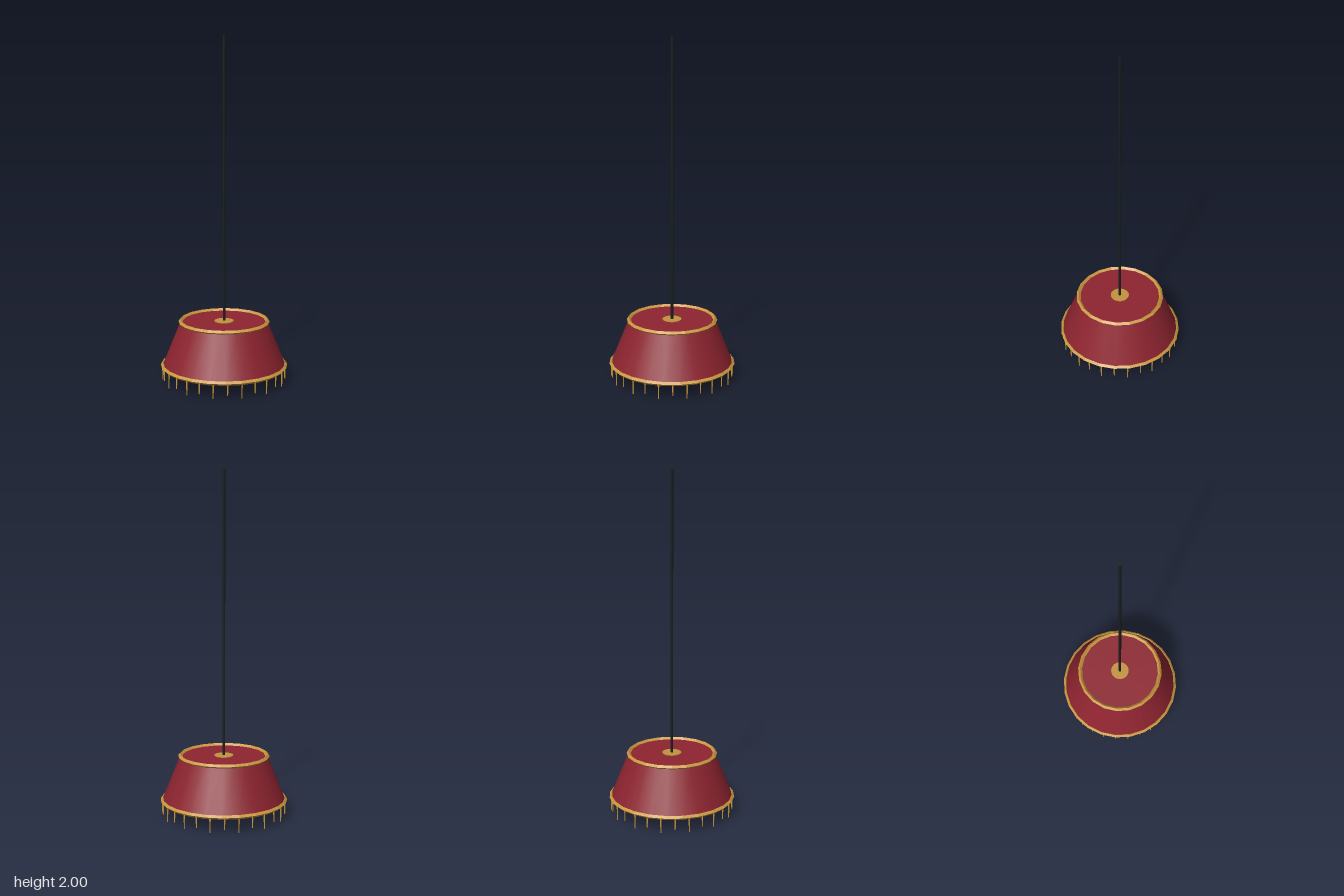
import * as THREE from 'three';

export function createModel() {
  const group = new THREE.Group();
  const material = (name, color, extra = {}) => {
    const m = new THREE.MeshStandardMaterial({ color, ...extra });
    m.name = name;
    return m;
  };
  const red = material('red fabric', 0x8e2430, { side: THREE.DoubleSide });
  const gold = material('gold trim', 0xc8963e, { flatShading: true });
  const brass = material('brass', 0xc39340);
  const black = material('black cord', 0x1c1c1e);

  const add = (name, geometry, mat, y, parent = group) => {
    const mesh = new THREE.Mesh(geometry, mat);
    mesh.name = name;
    mesh.position.y = y;
    parent.add(mesh);
    return mesh;
  };

  // Tapered shade, open below, closed by a flat panel on top
  add('shade', new THREE.CylinderGeometry(0.255, 0.36, 0.26, 24, 1, true), red, 0.22);
  add('topPanel', new THREE.CircleGeometry(0.25, 24).rotateX(-Math.PI / 2), red, 0.35);

  // Diamond-section trim rings
  const ring = (name, radius, segments, y) =>
    add(name, new THREE.TorusGeometry(radius, 0.0125, 4, segments).rotateX(Math.PI / 2), gold, y);
  ring('topTrim', 0.255, 20, 0.35);
  ring('bottomTrim', 0.36, 24, 0.09);

  // Hanging cord, fitting and bulb
  add('cord', new THREE.CylinderGeometry(0.008, 0.008, 1.66, 8), black, 1.17);
  add('fitting', new THREE.CylinderGeometry(0.056, 0.056, 0.008, 24), brass, 0.35);
  add('socket', new THREE.CylinderGeometry(0.025, 0.025, 0.12, 12), brass, 0.288);
  add('bulb', new THREE.SphereGeometry(0.062, 20, 14), brass, 0.19);

  // Fringe of alternating long and short strands
  const fringe = new THREE.Group();
  fringe.name = 'fringe';
  group.add(fringe);
  const count = 28;
  for (let i = 0; i < count; i++) {
    const a = (i / count) * Math.PI * 2;
    const length = i % 2 ? 0.07 : 0.09;
    const strand = add('strand', new THREE.CylinderGeometry(0.005, 0.003, length, 5), gold, 0.09 - length / 2, fringe);
    strand.position.x = 0.36 * Math.sin(a);
    strand.position.z = 0.36 * Math.cos(a);
    strand.rotation.y = a;
  }
  return group;
}
